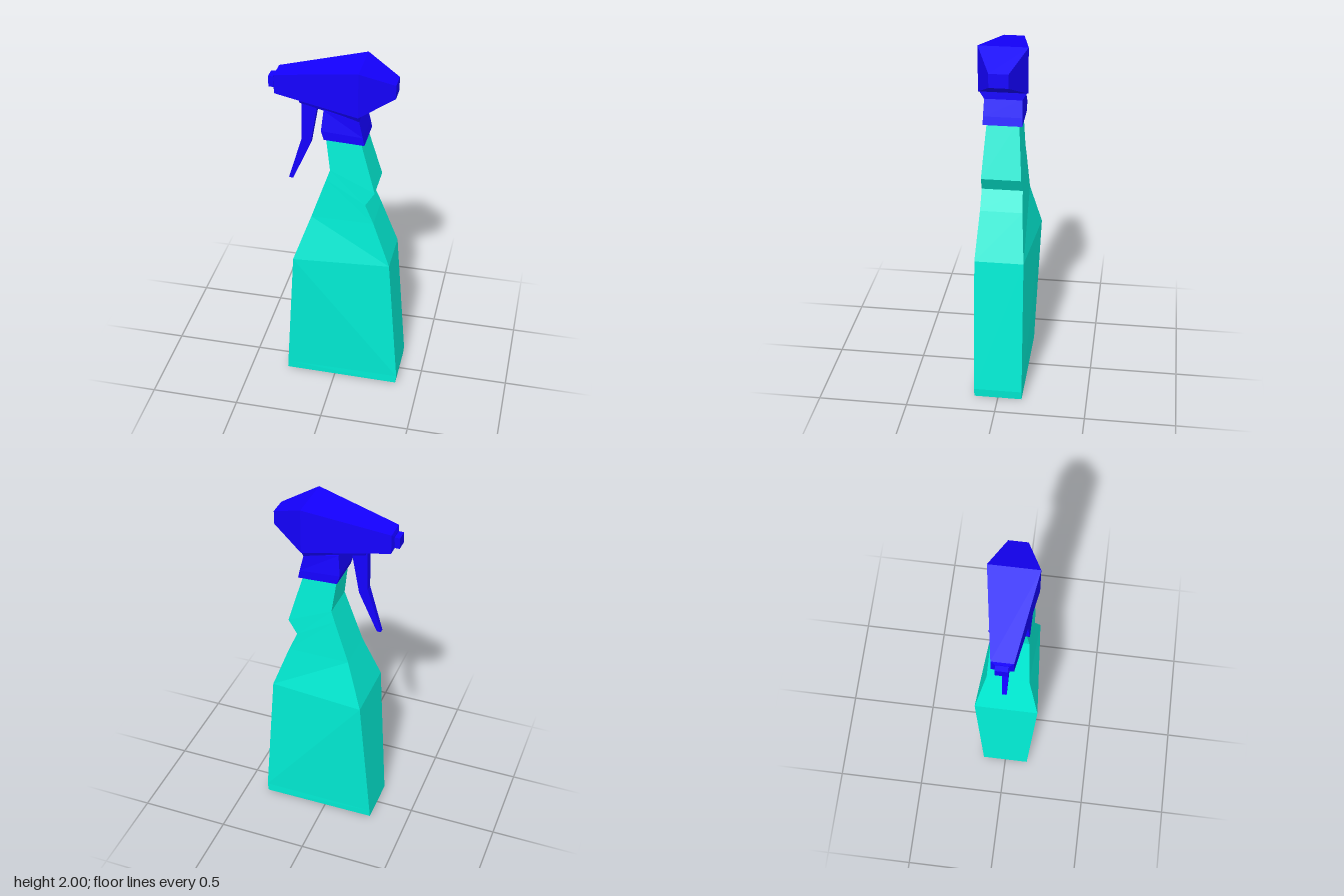
import * as THREE from 'three';

const teal = new THREE.MeshStandardMaterial({ color: 0x00ecd4, flatShading: true });
const blue = new THREE.MeshStandardMaterial({ color: 0x1400ff, flatShading: true });

// Skin four-cornered sections into a closed faceted solid.
// Corners run counter-clockwise as seen from the last section.
function loft(name, sections, material) {
  const pos = [];
  const quad = (a, b, c, d) => pos.push(...a, ...b, ...c, ...a, ...c, ...d);
  for (let s = 0; s < sections.length - 1; s++) {
    const lo = sections[s], hi = sections[s + 1];
    for (let i = 0; i < 4; i++) {
      const j = (i + 1) % 4;
      // the first side splits along the other diagonal, to mirror the third
      if (i === 0) quad(lo[j], hi[j], hi[i], lo[i]);
      else quad(lo[i], lo[j], hi[j], hi[i]);
    }
  }
  const first = sections[0], last = sections[sections.length - 1];
  quad(first[3], first[2], first[1], first[0]);
  quad(last[0], last[1], last[2], last[3]);

  const geometry = new THREE.BufferGeometry();
  geometry.setAttribute('position', new THREE.Float32BufferAttribute(pos, 3));
  geometry.computeVertexNormals();
  const mesh = new THREE.Mesh(geometry, material);
  mesh.name = name;
  return mesh;
}

// Upright section: left edge (x, y, half depth) and right edge (x, y, half depth).
const upright = ([xl, yl, zl, xr, yr, zr]) =>
  [[xl, yl, zl], [xr, yr, zr], [xr, yr, -zr], [xl, yl, -zl]];

// Section across the x axis: x, bottom, top, half depth.
const across = ([x, y0, y1, z]) =>
  [[x, y0, z], [x, y0, -z], [x, y1, -z], [x, y1, z]];

export function createModel() {
  const model = new THREE.Group();
  model.name = 'sprayBottle';

  // Bottle: tapered body, shoulder, notched grip and neck
  model.add(loft('bottle', [
    [-0.285, 0.005, 0.135, 0.365, 0, 0.135],
    [-0.282, 0.05, 0.137, 0.37, 0.05, 0.135],
    [-0.225, 0.84, 0.178, 0.308, 0.84, 0.134],
    [-0.132, 1.1, 0.117, 0.212, 1.1, 0.115],
    [-0.05, 1.34, 0.105, 0.165, 1.21, 0.111],
    [-0.03, 1.4, 0.101, 0.215, 1.29, 0.108],
    [-0.056, 1.6, 0.085, 0.127, 1.6, 0.085],
  ].map(upright), teal));

  // Collar joining neck and spray head
  model.add(loft('collar', [
    [-0.062, 1.585, 0.105, 0.155, 1.575, 0.105],
    [-0.077, 1.635, 0.104, 0.146, 1.62, 0.104],
    [-0.065, 1.75, 0.09, 0.124, 1.715, 0.1],
  ].map(upright), blue));

  // Flared underside of the spray head
  model.add(loft('headUnderside', [
    [-0.2, 1.765, 0.06, 0.125, 1.71, 0.1],
    [-0.2, 1.795, 0.075, 0.124, 1.76, 0.131],
  ].map(upright), blue));

  // Spray head, widest near the back
  model.add(loft('sprayHead', [
    [-0.343, 1.825, 1.893, 0.036],
    [-0.335, 1.803, 1.91, 0.057],
    [0.125, 1.75, 2, 0.132],
    [0.305, 1.84, 1.915, 0.051],
  ].map(across), blue));

  // Nozzle
  model.add(loft('nozzle', [
    [-0.372, 1.826, 1.887, 0.033],
    [-0.33, 1.826, 1.887, 0.033],
  ].map(across), blue));

  // Bent trigger
  model.add(loft('trigger', [
    [-0.28, 1.27, 0.012, -0.257, 1.267, 0.012],
    [-0.202, 1.53, 0.02, -0.155, 1.5, 0.02],
    [-0.199, 1.8, 0.025, -0.105, 1.79, 0.025],
  ].map(upright), blue));

  return model;
}
